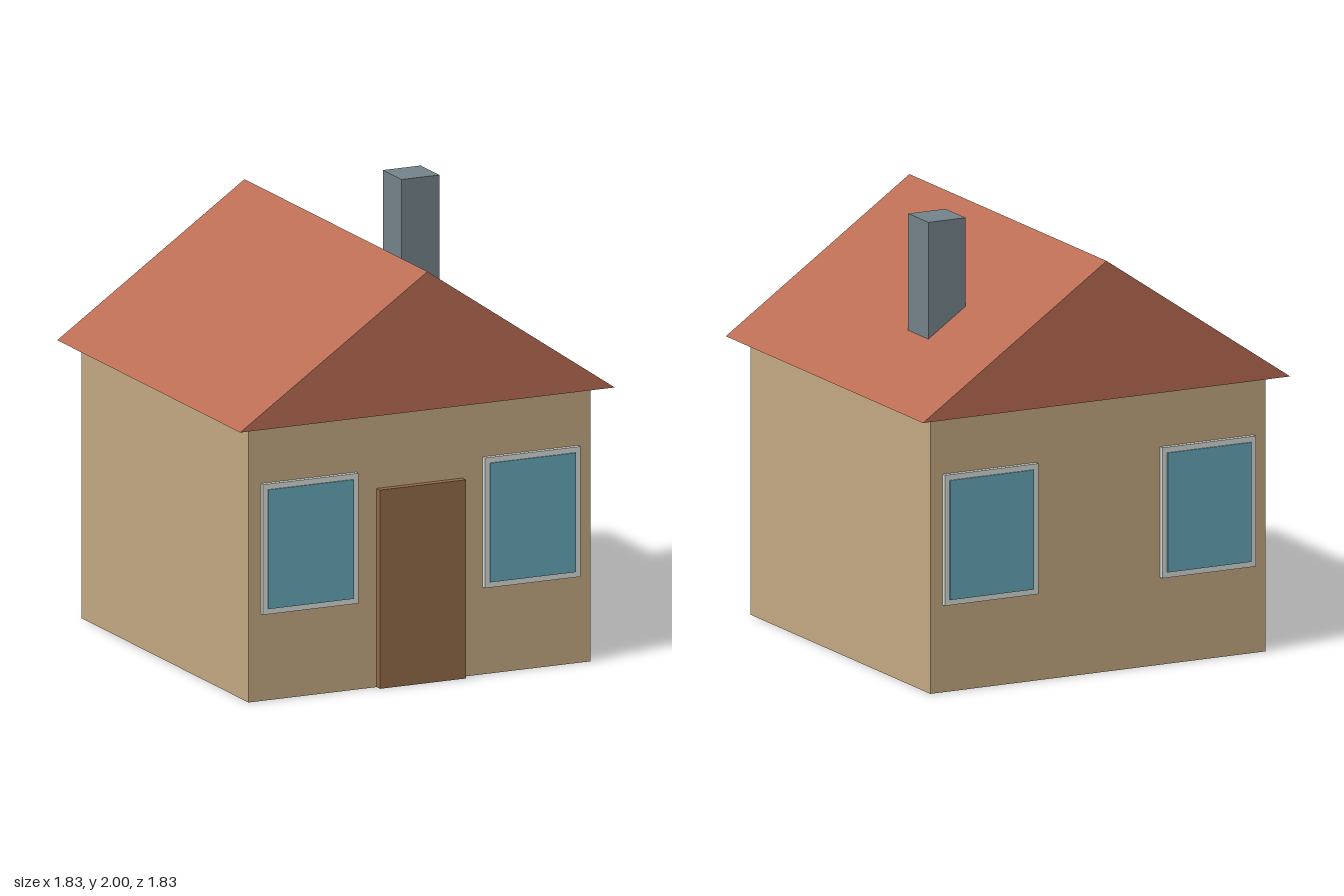
import * as THREE from 'three';

const material = (name, color) => {
  const m = new THREE.MeshStandardMaterial({ color });
  m.name = name;
  return m;
};

export function createModel() {
  const house = new THREE.Group();
  house.name = 'house';

  const wall = material('tan wall', 0xc4a982);
  const tile = material('terracotta roof', 0xba6c54);
  const wood = material('brown door', 0x936c47);
  const trim = material('pale window trim', 0xd6dad6);
  const glass = material('blue glass', 0x66a8b8);
  const stone = material('grey chimney', 0x74838a);

  // Box given by its lower and upper limits on each axis
  const box = (name, mat, [x0, x1], [y0, y1], [z0, z1], parent = house) => {
    const mesh = new THREE.Mesh(new THREE.BoxGeometry(x1 - x0, y1 - y0, z1 - z0), mat);
    mesh.position.set((x0 + x1) / 2, (y0 + y1) / 2, (z0 + z1) / 2);
    mesh.name = name;
    parent.add(mesh);
    return mesh;
  };

  box('walls', wall, [-0.835, 0.835], [0, 1.25], [-0.835, 0.835]);
  box('door', wood, [-0.21, 0.21], [0, 0.9], [0.83, 0.869]);
  box('chimney', stone, [0.405, 0.59], [1.3, 2], [-0.36, -0.173]);

  // Gabled roof prism with overhanging eaves
  const gable = new THREE.Shape();
  gable.moveTo(-0.915, 1.25);
  gable.lineTo(0.915, 1.25);
  gable.lineTo(0, 1.877);
  gable.closePath();
  const roof = new THREE.Mesh(
    new THREE.ExtrudeGeometry(gable, { depth: 1.83, bevelEnabled: false }), tile);
  roof.position.z = -0.915;
  roof.name = 'roof';
  house.add(roof);

  // Two windows on the front and two on the back
  for (const turn of [0, Math.PI]) {
    for (const side of [-1, 1]) {
      const w = new THREE.Group();
      w.name = (turn ? 'back' : 'front') + 'Window';
      const c = side * 0.542;
      box('windowFrame', trim, [c - 0.233, c + 0.233], [0.395, 0.985], [0.83, 0.857], w);
      box('windowPane', glass, [c - 0.209, c + 0.209], [0.42, 0.96], [0.856, 0.863], w);
      w.rotation.y = turn;
      house.add(w);
    }
  }
  return house;
}
